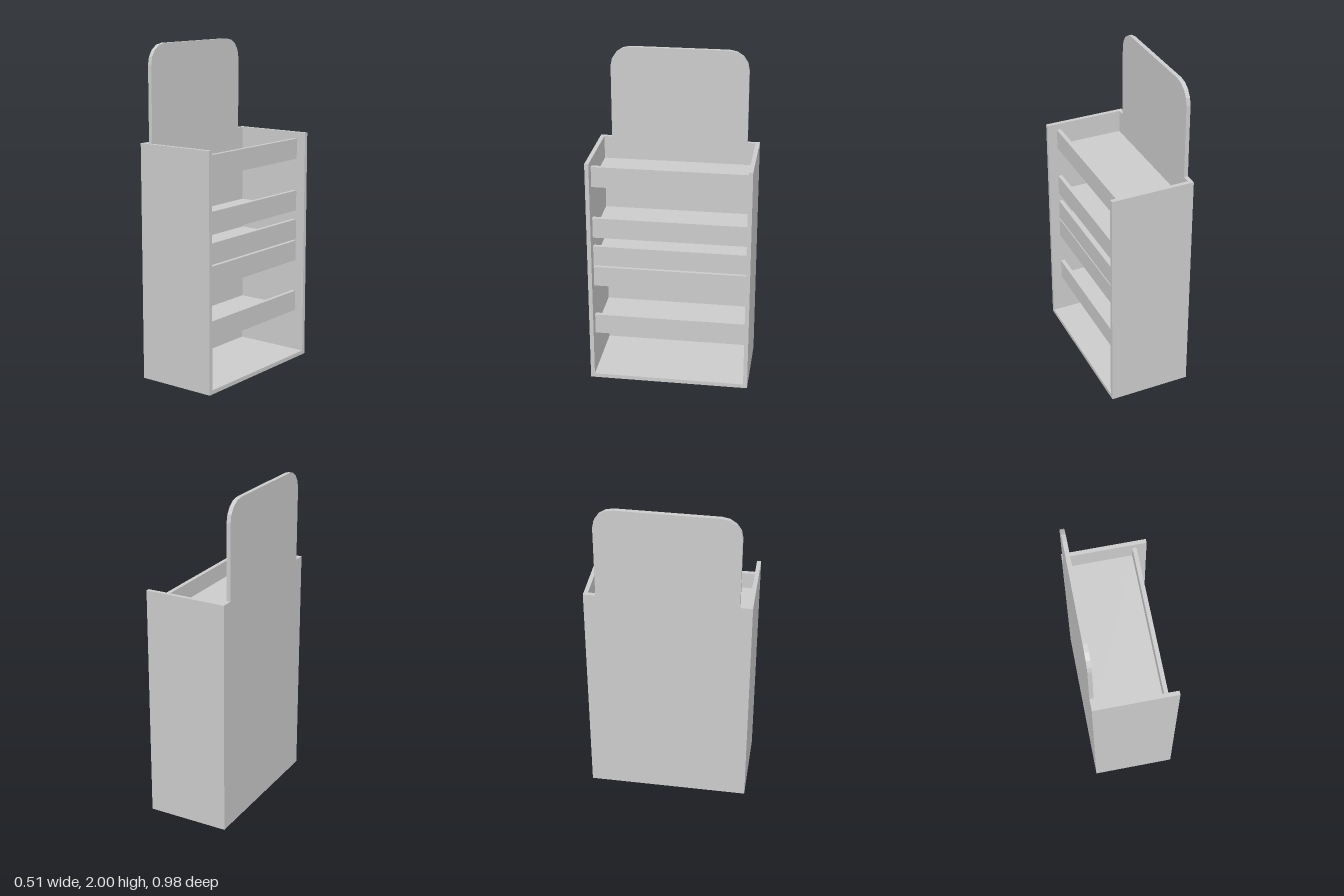
import * as THREE from 'three';

const W = 0.253, D = 0.49, H = 1.43, T = 0.025; // half depth in x, half width in z, cabinet height, board thickness
const material = new THREE.MeshStandardMaterial({ color: 0xcccccc, flatShading: true });

// Box given by its minimum and maximum corners
function board(name, [x0, y0, z0], [x1, y1, z1]) {
  const mesh = new THREE.Mesh(new THREE.BoxGeometry(x1 - x0, y1 - y0, z1 - z0), material);
  mesh.position.set((x0 + x1) / 2, (y0 + y1) / 2, (z0 + z1) / 2);
  mesh.name = name;
  return mesh;
}

// Back board with a narrower, round-cornered header above the cabinet
function backPanel() {
  const h = 0.417, r = 0.12, top = 2;
  const s = new THREE.Shape();
  s.moveTo(-D, 0);
  s.lineTo(D, 0);
  s.lineTo(D, H);
  s.lineTo(h, H);
  s.lineTo(h, top - r);
  s.absarc(h - r, top - r, r, 0, Math.PI / 2, false);
  s.lineTo(-h + r, top);
  s.absarc(-h + r, top - r, r, Math.PI / 2, Math.PI, false);
  s.lineTo(-h, H);
  s.lineTo(-D, H);
  s.closePath();
  const geometry = new THREE.ExtrudeGeometry(s, { depth: T, bevelEnabled: false, curveSegments: 2 });
  geometry.rotateY(-Math.PI / 2);
  const mesh = new THREE.Mesh(geometry, material);
  mesh.position.x = -W + T;
  mesh.name = 'backPanel';
  return mesh;
}

export function createModel() {
  const group = new THREE.Group();
  group.name = 'displayStand';
  const inner = D - T, back = -W + T;

  group.add(backPanel());
  group.add(board('sidePanelFront', [back, 0, inner], [W, H, D]));
  group.add(board('sidePanelRear', [back, 0, -D], [W, H, -inner]));
  group.add(board('basePanel', [back, 0, -inner], [W, T, inner]));

  // Shelf trays: a floor with an upright lip along the open side
  const lipFront = 0.193, lipHeight = 0.127;
  [0.285, 0.613, 0.75, 0.935, 1.263].forEach((y, i) => {
    const shelf = new THREE.Group();
    shelf.name = `shelf${i + 1}`;
    shelf.add(board('shelfFloor', [back, y, -inner], [lipFront - T, y + T, inner]));
    shelf.add(board('shelfLip', [lipFront - T, y, -inner], [lipFront, y + lipHeight, inner]));
    group.add(shelf);
  });
  return group;
}
